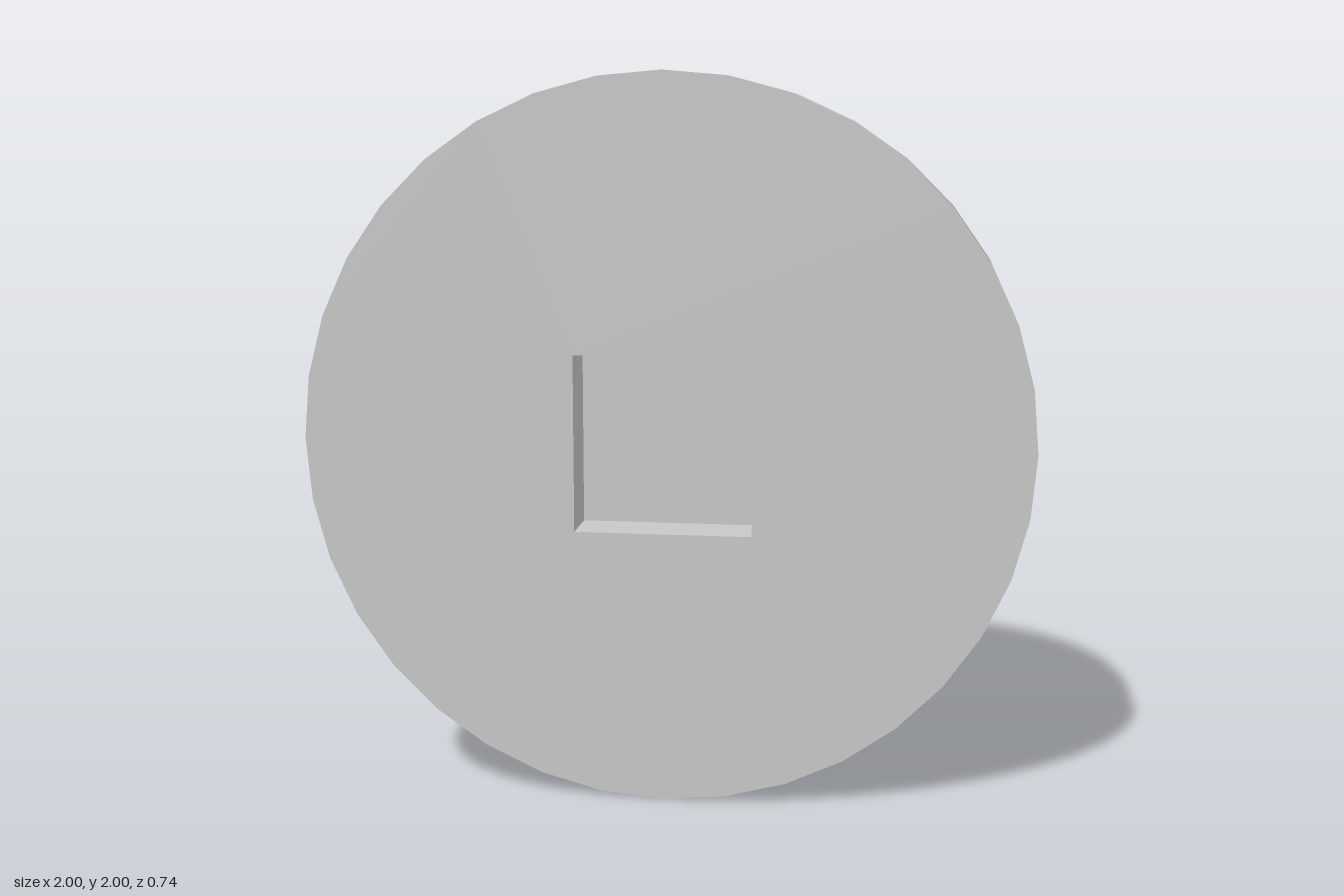
import * as THREE from 'three';

export function createModel() {
  const grey = new THREE.MeshStandardMaterial({ color: 0xc8c8c8 });
  grey.name = 'plain grey';

  const model = new THREE.Group();
  model.name = 'roundedKnob';
  const add = (name, geometry, parent = model) => {
    const mesh = new THREE.Mesh(geometry, grey);
    mesh.name = name;
    parent.add(mesh);
    return mesh;
  };

  const sides = 36, half = 0.368, fillet = 0.53;
  const hole = 0.244, depth = 0.146;

  // Domed shell: flat back, quarter-round shoulder, straight rim
  const profile = [new THREE.Vector2(0, -half)];
  for (let i = 0; i <= 12; i++) {
    const a = (i / 12) * Math.PI / 2;
    profile.push(new THREE.Vector2(
      1 - fillet + fillet * Math.sin(a),
      -half + fillet * (1 - Math.cos(a))));
  }
  profile.push(new THREE.Vector2(1, half));
  add('domedShell', new THREE.LatheGeometry(profile, sides).rotateX(Math.PI / 2));

  // Flat front with a square opening
  const disc = new THREE.Shape(Array.from({ length: sides }, (_, i) => {
    const a = (i / sides) * Math.PI * 2;
    return new THREE.Vector2(Math.cos(a), Math.sin(a));
  }));
  disc.holes.push(new THREE.Path([[-1, -1], [-1, 1], [1, 1], [1, -1]]
    .map(([x, y]) => new THREE.Vector2(x * hole, y * hole))));
  add('frontFace', new THREE.ShapeGeometry(disc).translate(0, 0, half));

  // Square socket: four inward-facing walls and a floor
  const socket = new THREE.Group();
  socket.name = 'squareSocket';
  model.add(socket);
  for (let i = 0; i < 4; i++) {
    add('socketWall', new THREE.PlaneGeometry(hole * 2, depth)
      .rotateX(-Math.PI / 2)
      .translate(0, -hole, half - depth / 2)
      .rotateZ(i * Math.PI / 2), socket);
  }
  add('socketFloor', new THREE.PlaneGeometry(hole * 2, hole * 2)
    .translate(0, 0, half - depth), socket);

  model.position.y = 1;
  return model;
}
